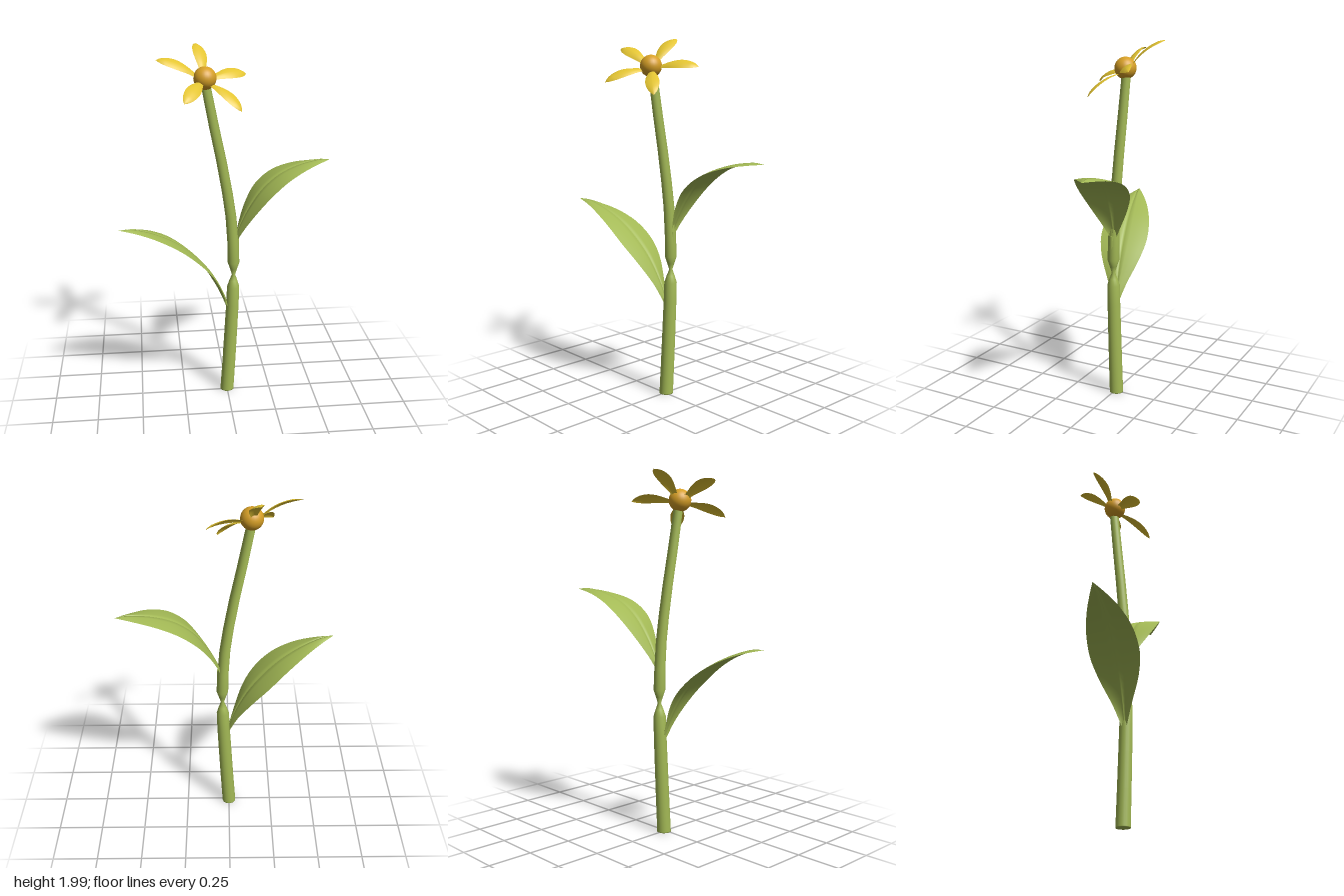
import * as THREE from 'three';

const V = (x, y, z) => new THREE.Vector3(x, y, z);

function material(name, color, side = THREE.FrontSide) {
  const m = new THREE.MeshStandardMaterial({ color, side });
  m.name = name;
  return m;
}

// Curved blade: profile rows are [distance along dir, height along up, half width].
// The cross-section bulges by `bulge` and dips by `groove` at the midrib.
function blade(name, mat, origin, dir, up, profile, bulge, groove) {
  const side = up.clone().cross(dir).normalize();
  const rows = new THREE.CatmullRomCurve3(profile.map(p => V(...p))).getPoints(28);
  const across = [-1, -0.75, -0.5, -0.25, -0.05, 0, 0.05, 0.25, 0.5, 0.75, 1];
  const n = across.length, pos = [], index = [];
  rows.forEach((p, i) => {
    const a = rows[Math.max(i - 1, 0)], b = rows[Math.min(i + 1, rows.length - 1)];
    const t = V(b.x - a.x, b.y - a.y, 0).normalize();
    const half = Math.max(p.z, 0.0005);
    const full = Math.min(1, half / 0.03);
    for (const v of across) {
      const lift = full * (bulge * (1 - v * v) - (v === 0 ? groove : 0));
      const q = origin.clone()
        .addScaledVector(dir, p.x - t.y * lift)
        .addScaledVector(up, p.y + t.x * lift)
        .addScaledVector(side, half * v);
      pos.push(q.x, q.y, q.z);
    }
    if (i === 0) return;
    for (let j = 0; j < n - 1; j++) {
      const k = (i - 1) * n + j;
      index.push(k, k + n, k + 1, k + 1, k + n, k + n + 1);
    }
  });
  const geo = new THREE.BufferGeometry();
  geo.setAttribute('position', new THREE.Float32BufferAttribute(pos, 3));
  geo.setIndex(index);
  geo.computeVertexNormals();
  const mesh = new THREE.Mesh(geo, mat);
  mesh.name = name;
  return mesh;
}

export function createModel() {
  const group = new THREE.Group();
  group.name = 'flower';
  const green = material('stemGreen', 0xa3b955);
  const leafGreen = material('leafGreen', 0xa3b955, THREE.DoubleSide);
  const yellow = material('petalYellow', 0xe3c432, THREE.DoubleSide);
  const amber = material('centreAmber', 0xd69f26);

  // Stem: rows of [centre x, y, radius], pinched at the node
  const stemRows = [
    [0, 0, 0], [0, 0, 0.039], [0, 0.004, 0.039], [0.012, 0.2, 0.038], [0.023, 0.4, 0.037],
    [0.031, 0.55, 0.036], [0.035, 0.66, 0.035], [0.036, 0.7, 0.022], [0.037, 0.735, 0.009],
    [0.037, 0.77, 0.02], [0.037, 0.81, 0.033], [0.033, 0.93, 0.031], [0.022, 1.08, 0.03],
    [0.002, 1.22, 0.029], [-0.03, 1.4, 0.028], [-0.067, 1.58, 0.027], [-0.115, 1.83, 0.025],
  ];
  const stemGeo = new THREE.LatheGeometry(stemRows.map(r => new THREE.Vector2(r[2], r[1])), 20);
  const sp = stemGeo.attributes.position;
  for (let i = 0; i < sp.count; i++) {
    sp.setX(i, sp.getX(i) + stemRows[i % stemRows.length][0]);
    sp.setZ(i, sp.getZ(i) - 0.01);
  }
  const stem = new THREE.Mesh(stemGeo, green);
  stem.name = 'stem';
  group.add(stem);

  // Short sheath where the upper leaf leaves the stem
  const sheath = new THREE.Mesh(new THREE.CylinderGeometry(0.015, 0.015, 0.14, 12), green);
  sheath.position.set(0.052, 0.88, -0.01);
  sheath.name = 'leafSheath';
  group.add(sheath);

  // Leaves
  const up = V(0, 1, 0);
  group.add(blade('upperLeaf', leafGreen, V(0.045, 0, -0.015),
    V(0.545, 0, -0.12).normalize(), up, [
      [0, 0.92, 0.008], [0.03, 1.0, 0.045], [0.09, 1.115, 0.1], [0.165, 1.215, 0.135],
      [0.26, 1.288, 0.132], [0.37, 1.33, 0.098], [0.47, 1.347, 0.05], [0.558, 1.355, 0],
    ], 0.012, 0.01));
  group.add(blade('lowerLeaf', leafGreen, V(0.005, 0, -0.005),
    V(-0.595, 0, 0.146).normalize(), up, [
      [0, 0.52, 0.008], [0.045, 0.64, 0.05], [0.12, 0.775, 0.11], [0.2, 0.87, 0.136],
      [0.3, 0.957, 0.127], [0.41, 1.02, 0.092], [0.51, 1.057, 0.048], [0.612, 1.08, 0],
    ], 0.012, 0.01));

  // Flower head: five petals around a tilted axis
  const centre = V(-0.115, 1.845, -0.003);
  const axis = V(0.31, 0.81, 0.49).normalize();
  const first = V(-0.25, 0.095, 0);
  first.addScaledVector(axis, -first.dot(axis)).normalize();
  for (let i = 0; i < 5; i++) {
    const dir = first.clone().applyAxisAngle(axis, i * Math.PI * 2 / 5);
    group.add(blade('petal' + (i + 1), yellow, centre, dir, axis, [
      [0.03, -0.012, 0.012], [0.08, 0.004, 0.022], [0.13, 0.014, 0.034], [0.175, 0.017, 0.038],
      [0.22, 0.013, 0.031], [0.25, 0.007, 0.017], [0.268, 0.001, 0],
    ], 0.008, 0));
  }

  const disc = new THREE.Mesh(new THREE.SphereGeometry(0.06, 28, 20), amber);
  disc.position.copy(centre);
  disc.name = 'flowerCentre';
  group.add(disc);

  return group;
}
